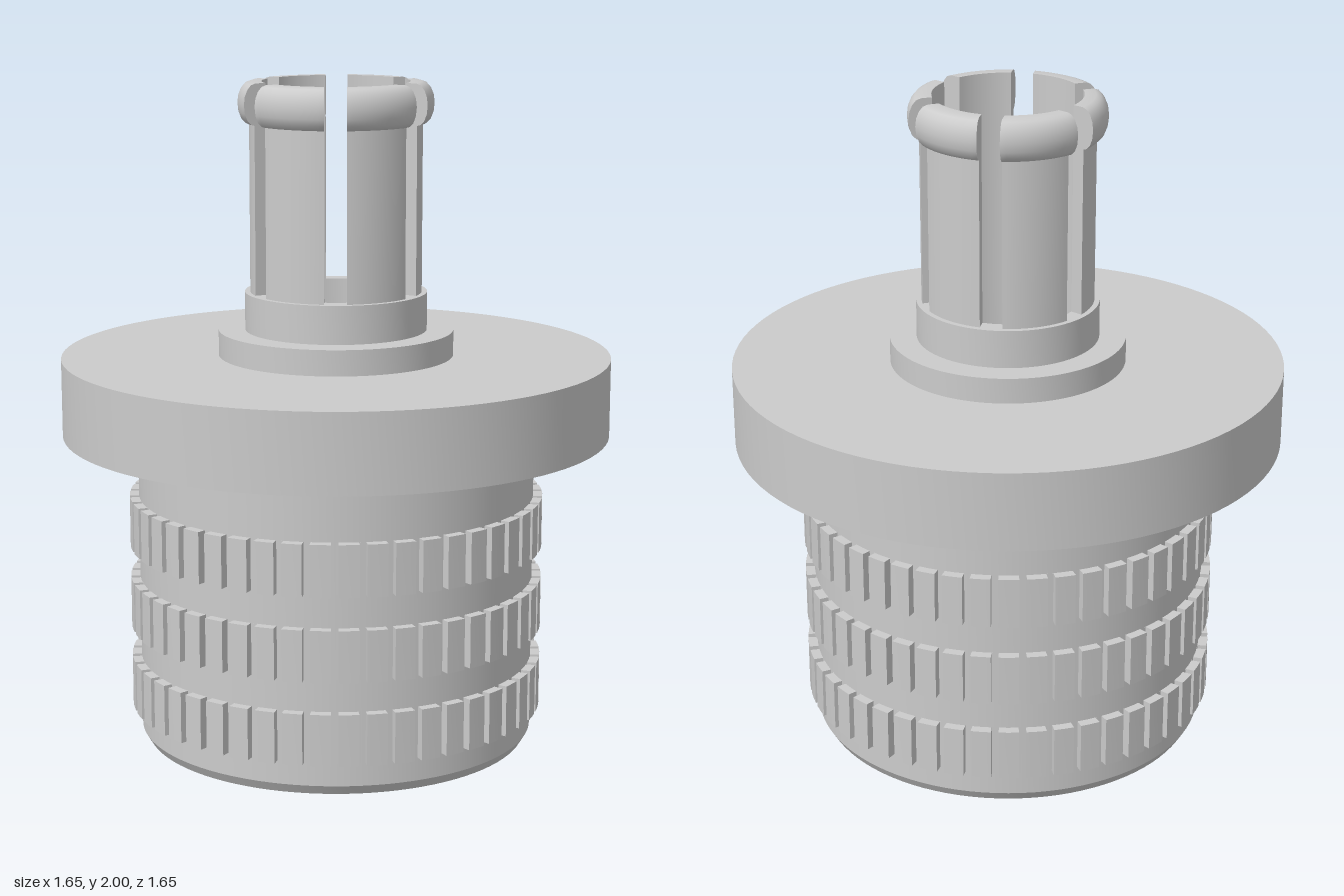
import * as THREE from 'three';
import { toCreasedNormals } from 'three/addons/utils/BufferGeometryUtils.js';

const material = new THREE.MeshStandardMaterial({ color: 0xcccccc });
const BORE = 0.22;

function addPart(parent, name, geometry, crease = 0.5) {
  const mesh = new THREE.Mesh(toCreasedNormals(geometry, crease), material);
  mesh.name = name;
  parent.add(mesh);
  return mesh;
}

// Closed counter-clockwise [radius, y] profile turned about the y axis
function turned(profile) {
  const points = [...profile, profile[0]].map(([r, y]) => new THREE.Vector2(r, y));
  return new THREE.LatheGeometry(points, 96);
}

// Grooved ring: wide teeth separated by narrow slots
function knurlGeometry(height) {
  const teeth = 48, outer = 0.628, root = 0.6, halfSlot = 0.011 / outer;
  const step = (Math.PI * 2) / teeth;
  const points = [];
  const put = (r, a) => points.push(new THREE.Vector2(r * Math.cos(a), r * Math.sin(a)));
  for (let i = 0; i < teeth; i++) {
    const a = i * step;
    put(root, a - halfSlot);
    put(root, a + halfSlot);
    put(outer, a + halfSlot);
    put(outer, a + step / 2);
    put(outer, a + step - halfSlot);
  }
  const shape = new THREE.Shape(points);
  shape.holes.push(new THREE.Path().absarc(0, 0, 0.57, 0, Math.PI * 2, true));
  return new THREE.ExtrudeGeometry(shape, { depth: height, bevelEnabled: false, curveSegments: 48 })
    .rotateX(-Math.PI / 2);
}

// Profile swept through a 60 degree sector, trimmed by parallel-sided slots
function fingerGeometry(profile, halfSlot) {
  const steps = 14, n = profile.length;
  const positions = [], index = [];
  for (let i = 0; i <= steps; i++) {
    for (const p of profile) {
      const a = ((2 * i) / steps - 1) * (Math.PI / 6 - Math.asin(halfSlot / p.x));
      positions.push(p.x * Math.sin(a), p.y, p.x * Math.cos(a));
    }
  }
  for (let i = 0; i < steps; i++) {
    for (let j = 0; j < n; j++) {
      const k = (j + 1) % n;
      const a = i * n + j, b = a + n, c = (i + 1) * n + k, d = i * n + k;
      index.push(a, b, c, a, c, d);
    }
  }
  const end = steps * n;
  for (const [a, b, c] of THREE.ShapeUtils.triangulateShape(profile, [])) {
    index.push(a, b, c, end + a, end + c, end + b);
  }
  const geometry = new THREE.BufferGeometry();
  geometry.setAttribute('position', new THREE.Float32BufferAttribute(positions, 3));
  geometry.setIndex(index);
  return geometry;
}

export function createModel() {
  const model = new THREE.Group();
  model.name = 'snapInPlug';

  // Hollow body: outside going up, then bore and ribbed socket going down
  const outside = [
    [0.53, 0], [0.582, 0], [0.6, 0.03], [0.6, 0.948],
    [0.825, 0.948], [0.825, 1.183], [0.353, 1.183], [0.353, 1.26],
    [0.273, 1.26], [0.273, 1.375], [BORE, 1.375],
  ];
  const inside = [[BORE, 0.95], [0.5, 0.95]];
  for (const y of [0.67, 0.46, 0.25]) {
    inside.push([0.5, y + 0.13], [0.445, y + 0.08], [0.445, y], [0.5, y - 0.07]);
  }
  inside.push([0.5, 0.04], [0.53, 0.04]);
  addPart(model, 'body', turned([...outside, ...inside]));

  // Three knurled bands around the barrel
  const knurl = knurlGeometry(0.155);
  [0.1, 0.35, 0.602].forEach((y, i) => {
    addPart(model, `knurledBand${i + 1}`, knurl).position.y = y;
  });

  // Six spring fingers with a rounded bead at the tip
  const profile = [
    [BORE, 1.37], [0.257, 1.37], [0.257, 1.877], [0.268, 1.88], [0.28, 1.892],
    [0.288, 1.912], [0.291, 1.938], [0.288, 1.962], [0.28, 1.981],
    [0.268, 1.995], [0.253, 2], [BORE, 2],
  ].map(([r, y]) => new THREE.Vector2(r, y));
  const finger = fingerGeometry(profile, 0.033);
  const fingers = new THREE.Group();
  fingers.name = 'springFingers';
  for (let i = 0; i < 6; i++) {
    addPart(fingers, `finger${i + 1}`, finger, 0.65).rotation.y = ((i + 0.5) * Math.PI) / 3;
  }
  model.add(fingers);
  return model;
}
